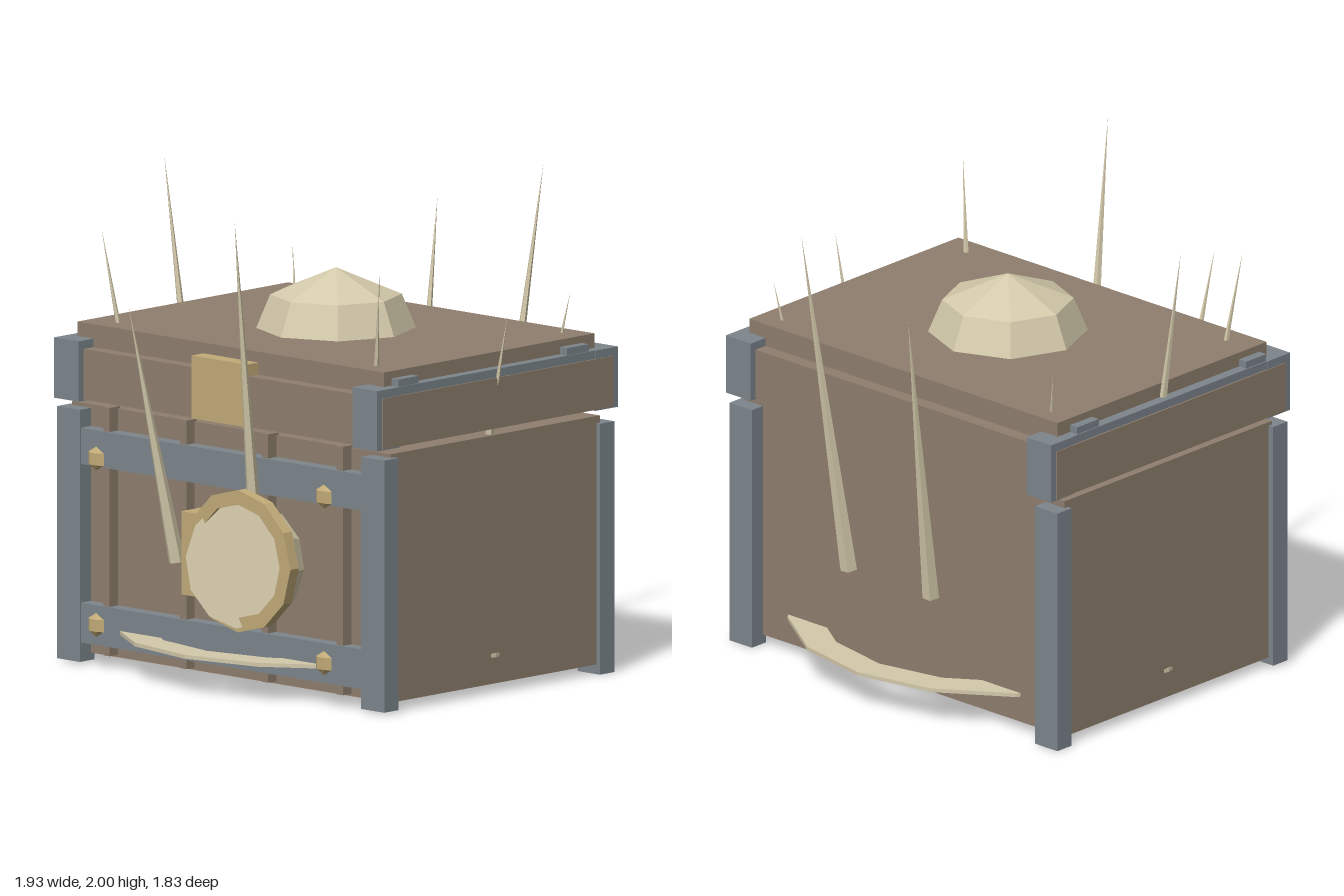
import * as THREE from 'three';

const mat = (name, color) => {
  const m = new THREE.MeshStandardMaterial({ color, flatShading: true });
  m.name = name;
  return m;
};

export function createModel() {
  const wood = mat('wood', 0x8f7f6e);
  const iron = mat('iron', 0x7d868d);
  const bone = mat('bone', 0xd4caab);
  const gold = mat('gold', 0xc2ab78);
  const model = new THREE.Group();
  model.name = 'chest';

  const add = (name, geometry, material, parent = model) => {
    const mesh = new THREE.Mesh(geometry, material);
    mesh.name = name;
    parent.add(mesh);
    return mesh;
  };
  // Box given by its low and high limits on each axis
  const box = (name, material, x0, x1, y0, y1, z0, z1) => {
    const mesh = add(name, new THREE.BoxGeometry(x1 - x0, y1 - y0, z1 - z0), material);
    mesh.position.set((x0 + x1) / 2, (y0 + y1) / 2, (z0 + z1) / 2);
    return mesh;
  };
  // Box placed on the left (s = 1) or right (s = -1) side
  const sideBox = (name, material, s, x0, x1, ...rest) =>
    box(name, material, Math.min(s * x0, s * x1), Math.max(s * x0, s * x1), ...rest);
  // Flat polygonal ring lying in the xz plane
  const flatRing = (inner, outer, h, sides) => new THREE.LatheGeometry([
    [outer, -h / 2], [outer, h / 2], [inner, h / 2], [inner, -h / 2], [outer, -h / 2],
  ].map(([x, y]) => new THREE.Vector2(x, y)), sides);

  // Body and lid, with a narrow gap between them
  box('body', wood, -0.895, 0.895, 0.04, 1.07, -0.62, 0.62);
  box('lidRim', wood, -0.912, 0.912, 1.1, 1.31, -0.685, 0.685);
  box('lidTop', wood, -0.86, 0.86, 1.3, 1.405, -0.625, 0.625);

  // Upright slats and iron rails on the front
  for (const x of [-0.655, -0.225, 0.235, 0.655])
    box('frontSlat', wood, x - 0.018, x + 0.018, 0.05, 1.08, 0.61, 0.67);
  box('lowerRail', iron, -0.8, 0.8, 0.09, 0.255, 0.6, 0.68);
  box('upperRail', iron, -0.8, 0.8, 0.83, 0.98, 0.6, 0.68);

  for (const s of [1, -1]) {
    // Corner posts
    sideBox('frontPost', iron, s, 0.79, 0.92, 0.01, 1.055, 0.6, 0.685);
    sideBox('backPost', iron, s, 0.79, 0.915, 0, 1.04, -0.685, -0.6);
    // Lid corners and the edging along each side
    sideBox('frontLidCorner', iron, s, 0.77, 0.908, 1.095, 1.345, 0.58, 0.715);
    sideBox('backLidCorner', iron, s, 0.77, 0.908, 1.095, 1.345, -0.715, -0.58);
    sideBox('lidEdging', iron, s, 0.855, 0.905, 1.3, 1.345, -0.6, 0.6);
    sideBox('edgingClasp', iron, s, 0.855, 0.9, 1.3, 1.375, 0.46, 0.58);
    sideBox('edgingClasp', iron, s, 0.855, 0.9, 1.3, 1.375, -0.55, -0.42);
    // Studs in front of the rails
    for (const y of [0.19, 0.88]) {
      const stud = add('stud', new THREE.SphereGeometry(0.05, 6, 3), gold);
      stud.scale.z = 0.45;
      stud.position.set(s * 0.64, y, 0.748);
    }
  }

  // Lock plates
  box('lidLockPlate', gold, -0.155, 0.155, 1.1, 1.36, 0.62, 0.695);
  box('bodyLockPlate', gold, -0.145, 0.145, 0.38, 0.725, 0.62, 0.765);

  // Round medallion: gold ring around a tilted half ball
  const ring = add('medallionRing', flatRing(0.235, 0.295, 0.05, 12), gold);
  ring.rotation.x = Math.PI / 2;
  ring.position.set(0.225, 0.57, 0.795);
  const eye = new THREE.Group();
  eye.name = 'medallion';
  eye.position.set(0.22, 0.555, 0.8);
  eye.rotation.set(-0.1, 0.19, 0);
  add('medallionFace', new THREE.CircleGeometry(0.265, 12), bone, eye);
  const back = add('medallionBack',
    new THREE.SphereGeometry(0.265, 12, 4, 0, Math.PI * 2, 0, Math.PI / 2), bone, eye);
  back.rotation.x = -Math.PI / 2;
  model.add(eye);

  // Faceted dome through the lid and thin ring around the base
  add('dome', new THREE.SphereGeometry(0.38, 8, 4), bone).position.y = 1.275;
  add('baseRing', flatRing(0.77, 0.9, 0.016, 16), bone).position.y = 0.157;

  // Crown of spikes leaning outwards: base x, base z, tip height
  const up = new THREE.Vector3(0, 1, 0);
  for (const [x, z, top] of [
    [0.742, 0, 1.575], [0.6, 0.436, 1.79], [0.229, 0.705, 2], [-0.229, 0.705, 1.575],
    [-0.6, 0.436, 1.79], [-0.742, 0, 2], [-0.6, -0.436, 1.575], [-0.229, -0.705, 1.79],
    [0.229, -0.705, 2], [0.6, -0.436, 1.575],
  ]) {
    const a = new THREE.Vector3(x, 0.5, z);
    const b = new THREE.Vector3(x * 1.3, top, z * 1.3);
    const dir = b.clone().sub(a);
    const spike = add('spike', new THREE.ConeGeometry(0.036, dir.length(), 5), bone);
    spike.position.copy(a).add(b).multiplyScalar(0.5);
    spike.quaternion.setFromUnitVectors(up, dir.normalize());
  }
  return model;
}
